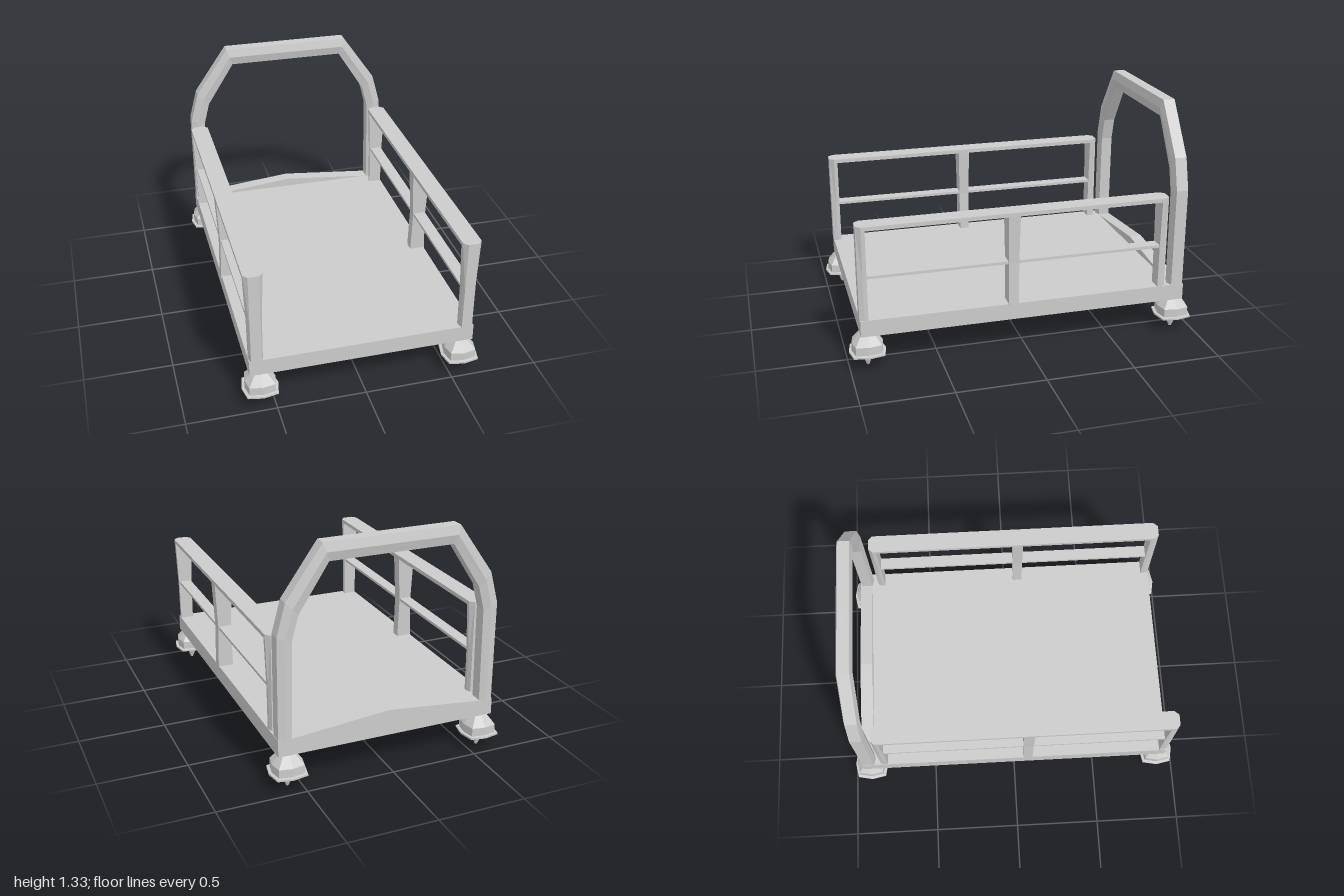
import * as THREE from 'three';

const material = new THREE.MeshStandardMaterial({ color: 0xcccccc, flatShading: true });

function add(parent, name, geometry) {
  const mesh = new THREE.Mesh(geometry, material);
  mesh.name = name;
  parent.add(mesh);
  return mesh;
}

function box(parent, name, w, h, d, x, y, z) {
  return add(parent, name, new THREE.BoxGeometry(w, h, d).translate(x, y, z));
}

// Solid skinned over a row of convex cross-sections, turned to face outward
function loft(rings) {
  const n = rings[0].length, tris = [];
  for (let r = 0; r < rings.length - 1; r++) {
    for (let i = 0; i < n; i++) {
      const j = (i + 1) % n;
      const a = rings[r][i], b = rings[r][j], c = rings[r + 1][j], d = rings[r + 1][i];
      tris.push([a, b, c], [a, c, d]);
    }
  }
  const first = rings[0], last = rings[rings.length - 1];
  for (let i = 1; i < n - 1; i++) {
    tris.push([first[0], first[i + 1], first[i]], [last[0], last[i], last[i + 1]]);
  }
  const vec = p => new THREE.Vector3(...p);
  const volume = tris.reduce((s, [a, b, c]) => s + vec(a).dot(vec(b).cross(vec(c))), 0);
  const ordered = volume < 0 ? tris.map(([a, b, c]) => [a, c, b]) : tris;
  const geometry = new THREE.BufferGeometry();
  geometry.setAttribute('position', new THREE.Float32BufferAttribute(ordered.flat(2), 3));
  geometry.computeVertexNormals();
  return geometry;
}

// Foot: squarish eight-sided stack with a flange and a ground spike
function footGeometry() {
  const profile = [
    [0, 0], [0.008, 0], [0.036, 0.08], [0.102, 0.08], [0.102, 0.09], [0.086, 0.092],
    [0.086, 0.14], [0.042, 0.195], [0, 0.195],
  ].map(([x, y]) => new THREE.Vector2(x, y));
  const geometry = new THREE.LatheGeometry(profile, 8);
  const p = geometry.attributes.position;
  for (let i = 0; i < p.count; i++) {
    // push the diagonal corners outward
    const x = p.getX(i), z = p.getZ(i);
    if (Math.min(Math.abs(x), Math.abs(z)) > 0.02) p.setXYZ(i, x * 1.18, p.getY(i), z * 1.18);
  }
  geometry.computeVertexNormals();
  return geometry;
}

// End post: bevelled on its outer side and slightly wider at the top
function endPost(x, inner, outer) {
  const mid = inner + (outer - inner) * 0.45;
  return loft([[0.28, 0.039], [0.53, 0.041], [0.83, 0.053]].map(([y, w]) => [
    [x - w, y, inner], [x + w, y, inner], [x + w, y, mid],
    [x + 0.03, y, outer], [x - 0.03, y, outer], [x - w, y, mid],
  ]));
}

// Middle post: waisted at the middle rail
function middlePost(x) {
  return loft([[0.28, 0.045, 0.028], [0.53, 0.038, 0.03], [0.815, 0.052, 0.033]].map(([y, w, d]) => [
    [x - w, y, 0.082 - d], [x + w, y, 0.082 - d], [x + w, y, 0.082 + d], [x - w, y, 0.082 + d],
  ]));
}

function railing(side) {
  const group = new THREE.Group();
  group.name = side > 0 ? 'leftRailing' : 'rightRailing';
  const x = side * 0.594, w = 0.053;
  add(group, 'frontPost', endPost(x, 0.89, 0.938));
  add(group, 'middlePost', middlePost(x));
  add(group, 'backPost', endPost(x, -0.775, -0.82));
  box(group, 'middleRail', 0.07, 0.016, 1.68, x, 0.537, 0.06);
  // flat top rail with clipped corners
  add(group, 'topRail', loft([0.808, 0.831].map(y => [
    [x - w, y, 0.91], [x - 0.03, y, 0.938], [x + 0.03, y, 0.938], [x + w, y, 0.91],
    [x + w, y, -0.795], [x + 0.03, y, -0.82], [x - 0.03, y, -0.82], [x - w, y, -0.795],
  ])));
  return group;
}

// Rear hoop: six-sided bar following a bent path
function hoopGeometry() {
  const half = [
    [0.633, 0.28, 0.556, 0.28], [0.633, 0.86, 0.55, 0.83],
    [0.585, 1.04, 0.515, 0.965], [0.385, 1.325, 0.35, 1.224],
  ];
  const mirrored = half.map(([ox, oy, ix, iy]) => [-ox, oy, -ix, iy]).reverse();
  const z = -0.895;
  return loft([...half, ...mirrored].map(([ox, oy, ix, iy]) => {
    const mx = (ox + ix) / 2, my = (oy + iy) / 2;
    return [
      [ox, oy, z + 0.034], [mx, my, z + 0.046], [ix, iy, z + 0.034],
      [ix, iy, z - 0.034], [mx, my, z - 0.046], [ox, oy, z - 0.034],
    ];
  }));
}

export function createModel() {
  const model = new THREE.Group();
  model.name = 'railedPlatform';

  box(model, 'deck', 1.27, 0.095, 1.87, 0, 0.2425, 0);

  // Low peaked sill across the back of the deck
  add(model, 'backSill', loft([-0.86, -0.935].map(z => [
    [-0.57, 0.288, z], [0.57, 0.288, z], [0, 0.343, z],
  ])));

  add(model, 'rearHoop', hoopGeometry());

  for (const side of [-1, 1]) {
    model.add(railing(side));
    for (const end of [-1, 1]) {
      const foot = add(model, `${end > 0 ? 'front' : 'back'}${side > 0 ? 'Left' : 'Right'}Foot`, footGeometry());
      foot.position.set(side * 0.573, 0, end * 0.896);
    }
  }
  return model;
}
